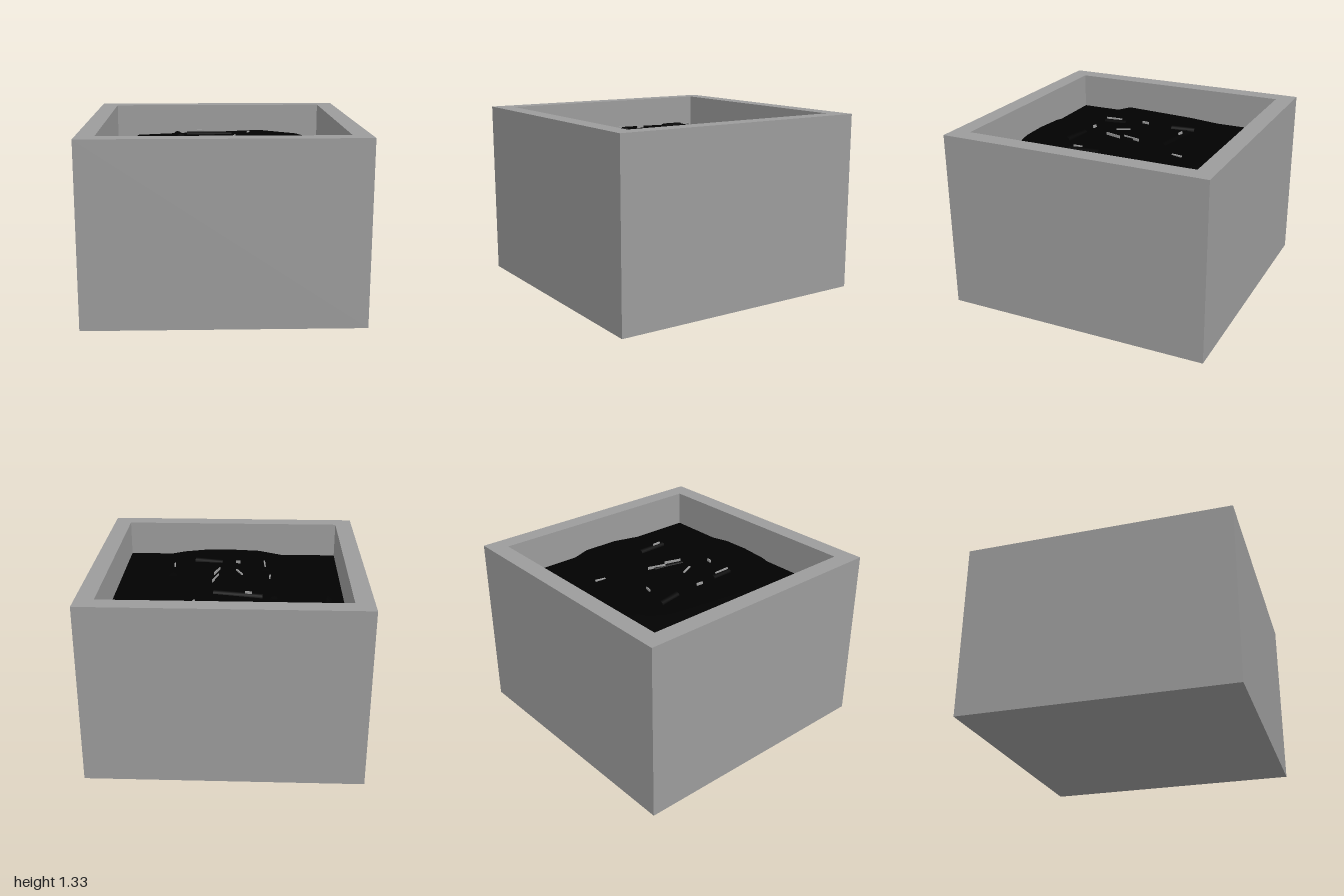
import * as THREE from 'three';

const H = 1.333, INNER = 0.867, SOIL_Y = 1.06;

const grey = new THREE.MeshStandardMaterial({ color: 0x9c9c9c });
const dark = new THREE.MeshStandardMaterial({ color: 0x010101 });

function add(parent, name, geometry, material) {
  const mesh = new THREE.Mesh(geometry, material);
  mesh.name = name;
  parent.add(mesh);
  return mesh;
}

// Closed dome through scaled copies of an irregular outline
function moundGeometry() {
  const outline = [
    [-0.85, 0.42], [-0.65, 0.54], [-0.47, 0.72], [-0.24, 0.84], [0, 0.865], [0.22, 0.86], [0.42, 0.8], [0.63, 0.68],
    [0.79, 0.38], [0.865, 0.1], [0.865, -0.2], [0.7, -0.65], [0.4, -0.86], [0.3, -0.86], [0.05, -0.79],
    [-0.38, -0.7], [-0.71, -0.61], [-0.79, -0.2],
  ];
  const rings = [[1, SOIL_Y - 0.02], [0.985, 1.085], [0.94, 1.12], [0.65, 1.15], [0.3, 1.17]];
  const n = outline.length, pos = [], index = [];
  for (const [s, y] of rings) for (const [x, z] of outline) pos.push(x * s, y, z * s);
  pos.push(0, 1.175, 0);
  for (let r = 0; r < rings.length; r++) {
    for (let i = 0; i < n; i++) {
      const a = r * n + i, b = r * n + (i + 1) % n;
      if (r === rings.length - 1) index.push(a, b, rings.length * n);
      else index.push(a, b, b + n, a, b + n, a + n);
    }
  }
  const g = new THREE.BufferGeometry();
  g.setAttribute('position', new THREE.Float32BufferAttribute(pos, 3));
  g.setIndex(index);
  g.computeVertexNormals();
  return g;
}

// Lays a mesh whose length runs along z between two ground points
function lay(mesh, [x1, z1, x2, z2], y) {
  mesh.position.set((x1 + x2) / 2, y, (z1 + z2) / 2);
  mesh.rotation.y = Math.atan2(x2 - x1, z2 - z1);
}
const span = ([x1, z1, x2, z2]) => Math.hypot(x2 - x1, z2 - z1);

export function createModel() {
  const model = new THREE.Group();
  model.name = 'planter';

  // Square pot with thick walls
  const square = (Cls, r) => new Cls([[-r, -r], [r, -r], [r, r], [-r, r]].map(([x, y]) => new THREE.Vector2(x, y)));
  const wall = square(THREE.Shape, 1);
  wall.holes.push(square(THREE.Path, INNER));
  const wallGeo = new THREE.ExtrudeGeometry(wall, { depth: H, bevelEnabled: false }).rotateX(-Math.PI / 2);
  add(model, 'potWalls', wallGeo, grey);
  add(model, 'potFloor', new THREE.BoxGeometry(2 * INNER, 0.13, 2 * INNER), grey).position.y = 0.065;

  // Soil bed and the low mound on it
  add(model, 'soilBed', new THREE.PlaneGeometry(2 * INNER, 2 * INNER).rotateX(-Math.PI / 2), dark).position.y = SOIL_Y;
  add(model, 'soilMound', moundGeometry(), dark);

  // Half-buried twigs
  const twigs = [
    [-0.26, -0.345, 0.1, -0.29], [-0.34, -0.38, -0.31, -0.2], [-0.27, 0.36, -0.28, 0.18],
    [0.06, 0.18, 0.11, -0.06], [0.44, 0.3, 0.43, 0.06], [0.06, 0.38, 0.28, 0.42],
  ];
  for (const t of twigs) {
    const g = new THREE.CylinderGeometry(0.035, 0.03, span(t), 8).rotateX(Math.PI / 2);
    lay(add(model, 'twig', g, dark), t, 1.15);
  }

  // Thin pale slivers showing through the soil
  const slivers = [
    [0.235, -0.43, 0.25, -0.51, 1.16, 0.015], [-0.18, -0.34, -0.13, -0.33, 1.192, 0.008],
    [-0.315, 0.055, -0.31, 0, 1.18, 0.01], [-0.1, 0.06, -0.055, 0.16, 1.18, 0.012],
    [0.08, 0.03, 0.12, -0.11, 1.19, 0.006], [0.075, 0.18, 0.115, 0.05, 1.19, 0.006],
    [-0.27, 0.35, -0.277, 0.22, 1.188, 0.01], [0.435, 0.27, 0.43, 0.2, 1.188, 0.01],
    [-0.08, 0.352, -0.045, 0.358, 1.18, 0.012],
  ];
  for (const s of slivers) {
    lay(add(model, 'sliver', new THREE.BoxGeometry(s[5], 0.03, span(s)), grey), s, s[4] - 0.012);
  }
  return model;
}
